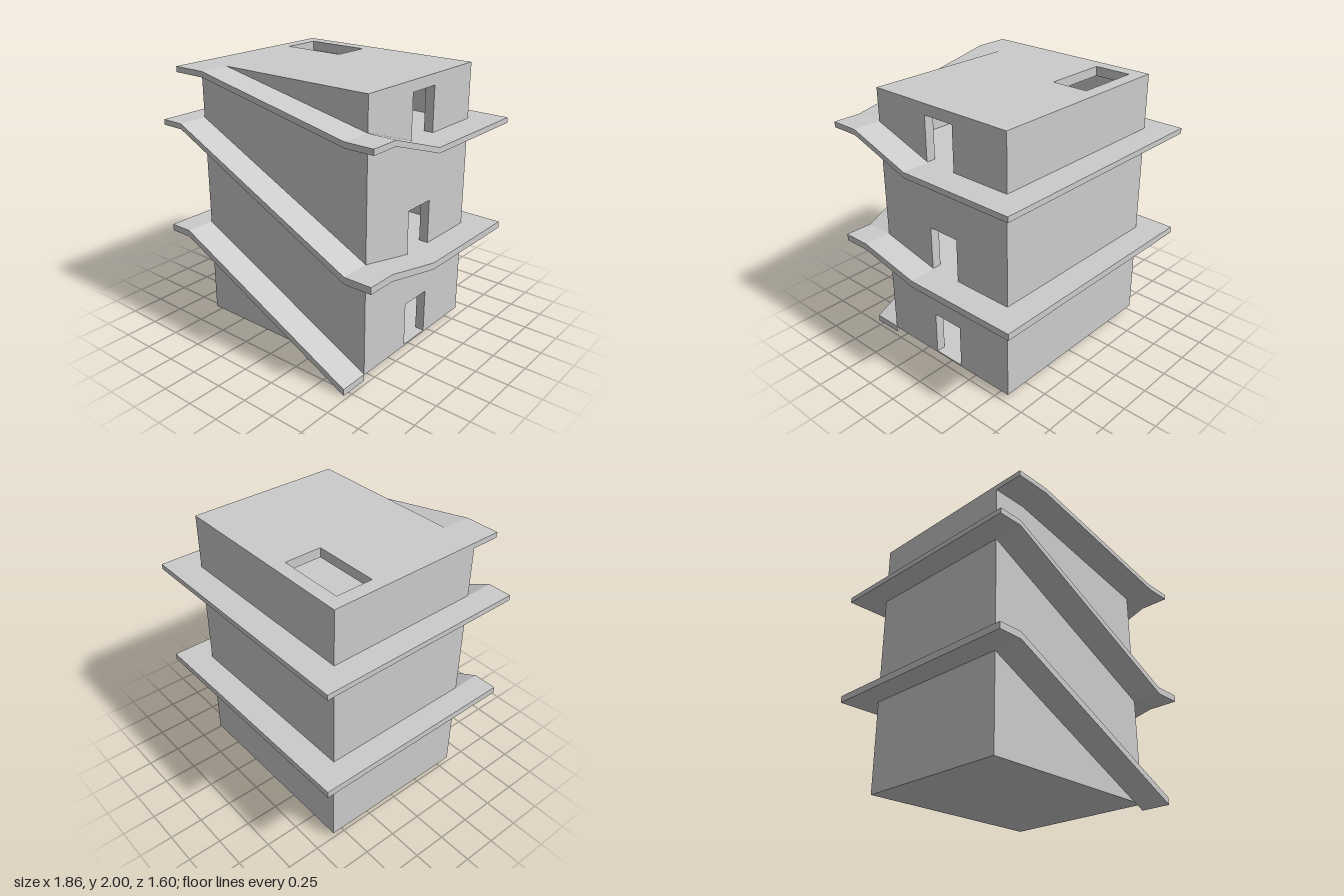
import * as THREE from 'three';

const material = new THREE.MeshStandardMaterial({ color: 0xcccccc, flatShading: true });

// Building shell limits, outer ledge limits, wall and roof thickness
const X0 = -0.75, X1 = 0.72, Z0 = -0.6, Z1 = 0.58, BASE = 0.05, TOP = 2;
const OX = 0.93, OZ = 0.8, WALL = 0.07, ROOF = 0.07;

function add(group, name, geometry) {
  const mesh = new THREE.Mesh(geometry, material);
  mesh.name = name;
  group.add(mesh);
  return mesh;
}

function boxBetween(group, name, x0, x1, y0, y1, z0, z1) {
  const mesh = add(group, name, new THREE.BoxGeometry(x1 - x0, y1 - y0, z1 - z0));
  mesh.position.set((x0 + x1) / 2, (y0 + y1) / 2, (z0 + z1) / 2);
}

// Rectangular slab with rectangular holes, each given as [x0, x1, y0, y1]
function slab(outline, holes, depth) {
  const trace = (path, [x0, x1, y0, y1]) =>
    path.moveTo(x0, y0).lineTo(x1, y0).lineTo(x1, y1).lineTo(x0, y1).closePath();
  const shape = new THREE.Shape();
  trace(shape, outline);
  for (const hole of holes) {
    const path = new THREE.Path();
    trace(path, hole);
    shape.holes.push(path);
  }
  return new THREE.ExtrudeGeometry(shape, { depth, bevelEnabled: false });
}

// Sweep of sections [innerX, innerZ, outerX, outerZ, topY, thickness]
function ledgeGeometry(sections) {
  const rings = sections.map(([ix, iz, ox, oz, y, t]) => [
    [ix, y, iz], [ox, y, oz], [ox, y - t, oz], [ix, y - t, iz],
  ]);
  const positions = [];
  const quad = (a, b, c, d) => positions.push(...a, ...b, ...c, ...a, ...c, ...d);
  for (let i = 0; i < rings.length - 1; i++) {
    const a = rings[i], b = rings[i + 1];
    for (let k = 0; k < 4; k++) {
      const n = (k + 1) % 4;
      quad(a[k], b[k], b[n], a[n]);
    }
  }
  quad(...rings[0]);
  quad(...rings[rings.length - 1].slice().reverse());
  const geometry = new THREE.BufferGeometry();
  geometry.setAttribute('position', new THREE.Float32BufferAttribute(positions, 3));
  geometry.computeVertexNormals();
  return geometry;
}

export function createModel() {
  const model = new THREE.Group();
  model.name = 'towerWithSpiralRamp';

  // Hollow shell: three plain walls
  const eaves = TOP - ROOF;
  boxBetween(model, 'frontWall', X0, X1 - WALL, BASE, eaves, Z1 - WALL, Z1);
  boxBetween(model, 'backWall', X0, X1 - WALL, BASE, eaves, Z0, Z0 + WALL);
  boxBetween(model, 'rightWall', X0, X0 + WALL, BASE, eaves, Z0 + WALL, Z1 - WALL);

  // Wall with one doorway per storey
  const doors = [[0.06, 0.39], [0.78, 1.105], [1.595, 1.92]].map(([y0, y1]) => [-0.14, 0.11, y0, y1]);
  const doorWall = slab([Z0, Z1, BASE, eaves], doors, WALL);
  doorWall.rotateY(-Math.PI / 2).translate(X1, 0, 0);
  add(model, 'doorWall', doorWall);

  // Roof with a hatch opening
  const roof = slab([X0, X1, Z0, Z1], [[-0.65, -0.16, -0.5, -0.22]], ROOF);
  roof.rotateX(Math.PI / 2).translate(0, TOP, 0);
  add(model, 'roof', roof);

  // Storey floors, level with the door sills
  for (const [y0, y1] of [[BASE, 0.06], [0.73, 0.78], [1.555, 1.595]])
    boxBetween(model, 'floor', X0 + WALL, X1 - WALL, y0, y1, Z0 + WALL, Z1 - WALL);

  // One continuous ramp: up the front, level round the sides and back, up again
  const sections = [[X1, Z1, X1, OZ, 0.055, 0.05]];
  for (const [level, rise, t] of [[0.78, 0.885, 0.05], [1.595, 1.76, 0.04]]) {
    sections.push(
      [X0, Z1, X0, OZ, level, t],
      [X0, Z1, -OX, OZ, level, t],
      [X0, Z1, -OX, Z1, level, t],
      [X0, Z0, -OX, -OZ, level, t],
      [X1, Z0, OX, -OZ, level, t],
      [X1, 0.1, OX, 0.1, level, t],
      [X1, Z1, OX, Z1, rise, t],
      [X1, Z1, OX, OZ, rise, t],
      [X1, Z1, X1, OZ, rise, t],
    );
  }
  sections.push([-0.49, Z1, -0.49, OZ, TOP, 0.04], [X0, Z1, X0, OZ, TOP, 0.04]);
  add(model, 'spiralRamp', ledgeGeometry(sections));

  return model;
}
